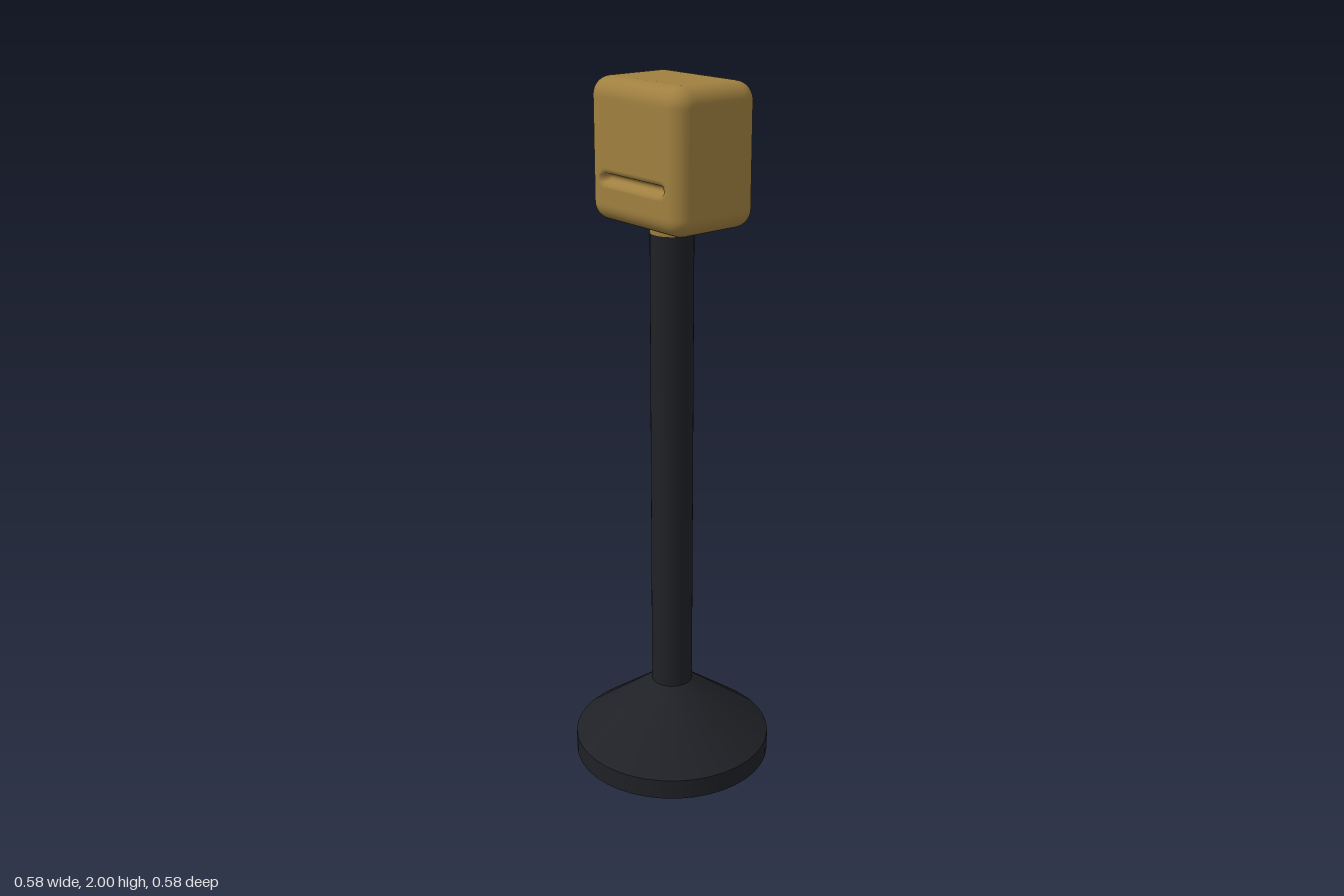
import * as THREE from 'three';
import { mergeVertices } from 'three/addons/utils/BufferGeometryUtils.js';

const dark = new THREE.MeshStandardMaterial({ color: 0x1f2126 });
const gold = new THREE.MeshStandardMaterial({ color: 0xa08040 });

// Upright tapered cylinder between two heights
function column(name, rTop, rBottom, y0, y1, material) {
  const mesh = new THREE.Mesh(new THREE.CylinderGeometry(rTop, rBottom, y1 - y0, 40), material);
  mesh.name = name;
  mesh.position.y = (y0 + y1) / 2;
  return mesh;
}

// Rounded block with a shallow slot sunk into its front face
function headGeometry(size, radius) {
  let geo = new THREE.BoxGeometry(size.x, size.y, size.z, 38, 57, 28);
  geo.deleteAttribute('normal');
  geo.deleteAttribute('uv');
  geo = mergeVertices(geo);
  const pos = geo.attributes.position;
  const limit = size.clone().multiplyScalar(0.5).subScalar(radius);
  const p = new THREE.Vector3();
  const core = new THREE.Vector3();
  const slot = { y: -0.07, halfW: 0.115, halfH: 0.018, depth: 0.025 };
  for (let i = 0; i < pos.count; i++) {
    p.fromBufferAttribute(pos, i);
    const onFront = p.z > size.z / 2 - 1e-4;
    core.copy(p).clamp(limit.clone().negate(), limit);
    p.sub(core).setLength(radius).add(core);
    if (onFront) {
      const dx = Math.max(0, Math.abs(p.x) - slot.halfW);
      const d = Math.hypot(dx, p.y - slot.y);
      p.z -= slot.depth * (1 - THREE.MathUtils.smoothstep(d, 0.004, slot.halfH));
    }
    pos.setXYZ(i, p.x, p.y, p.z);
  }
  geo.computeVertexNormals();
  return geo;
}

export function createModel() {
  const model = new THREE.Group();
  model.name = 'postWithSlottedHead';

  // Weighted foot: flat rim, then a cone up to the post
  model.add(column('footRim', 0.29, 0.29, 0, 0.06, dark));
  model.add(column('footCone', 0.06, 0.29, 0.06, 0.235, dark));
  model.add(column('post', 0.06, 0.06, 0.23, 1.6, dark));

  // Collar under the head
  model.add(column('collar', 0.063, 0.06, 1.595, 1.64, gold));

  // Head
  const head = new THREE.Mesh(headGeometry(new THREE.Vector3(0.38, 0.38, 0.274), 0.05), gold);
  head.name = 'head';
  head.position.y = 1.81;
  model.add(head);

  return model;
}
